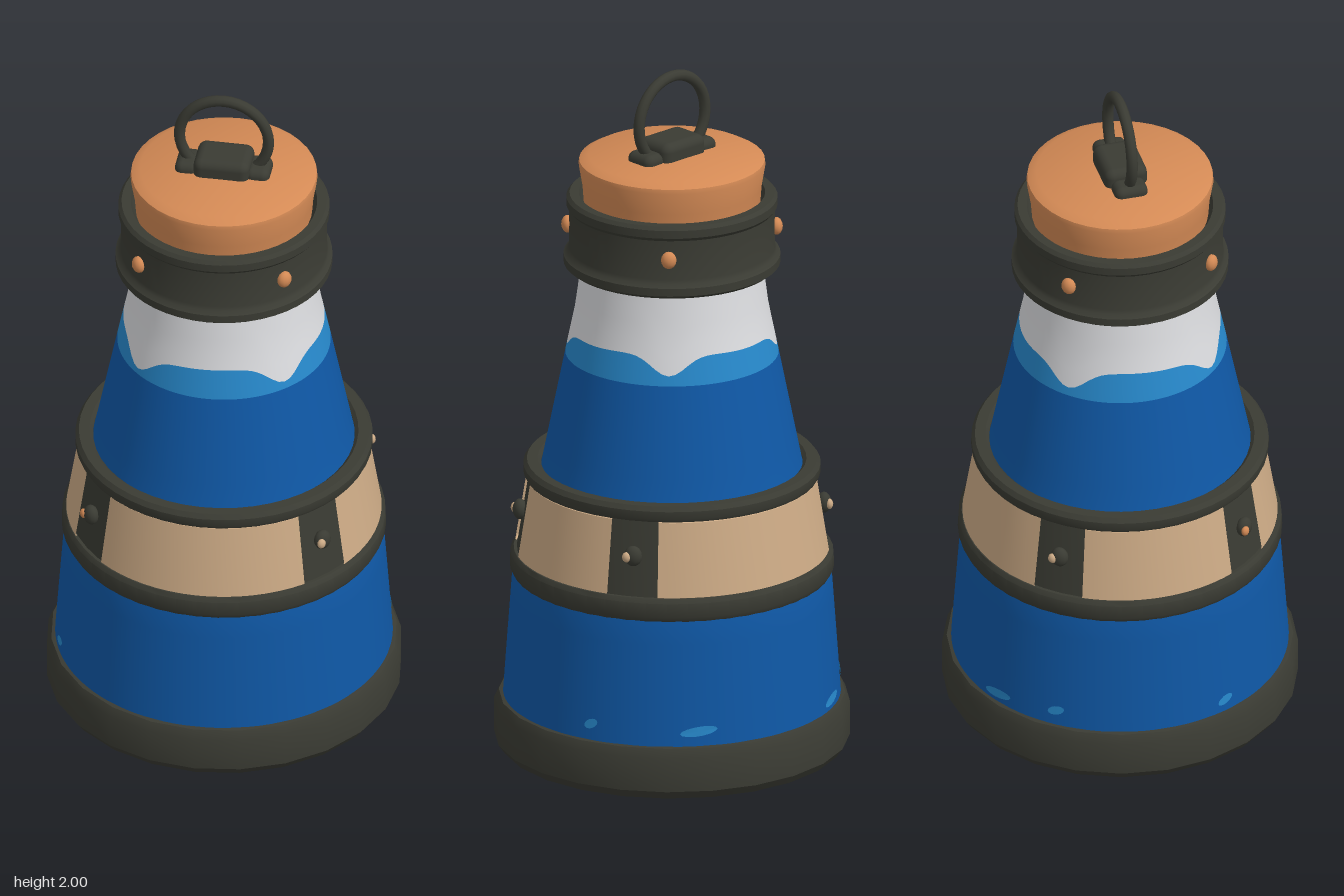
import * as THREE from 'three';
import { toCreasedNormals } from 'three/addons/utils/BufferGeometryUtils.js';
import { RoundedBoxGeometry } from 'three/addons/geometries/RoundedBoxGeometry.js';

const DEG = Math.PI / 180;

function material(name, color, side = THREE.FrontSide) {
  const m = new THREE.MeshStandardMaterial({ color, side });
  m.name = name;
  return m;
}

// Turned part from [radius, y] pairs, listed bottom to top on the outside
function turned(profile, segments, start = 0, length = Math.PI * 2) {
  const points = profile.map(([r, y]) => new THREE.Vector2(r, y));
  return toCreasedNormals(new THREE.LatheGeometry(points, segments, start, length), 0.6);
}

// Flask wall radius at height y
const wall = [[0.1, 0.478], [0.3, 0.464], [0.52, 0.448], [0.84, 0.365], [1.17, 0.299], [1.3, 0.272], [1.45, 0.252], [1.65, 0.24]];
function wallRadius(y) {
  for (let i = 1; i < wall.length; i++) {
    const [y0, r0] = wall[i - 1], [y1, r1] = wall[i];
    if (y <= y1) return r0 + (r1 - r0) * (y - y0) / (y1 - y0);
  }
  return wall[wall.length - 1][1];
}

// Closed band of the flask wall between two height functions of the angle
function wallBand(low, high, rows) {
  const n = 96, position = [], index = [];
  for (let j = 0; j <= rows; j++) {
    for (let i = 0; i < n; i++) {
      const a = i / n * Math.PI * 2;
      const y = low(a) + (high(a) - low(a)) * j / rows;
      const r = wallRadius(y);
      position.push(Math.sin(a) * r, y, Math.cos(a) * r);
      if (j < rows) {
        const p = j * n + i, q = j * n + (i + 1) % n;
        index.push(p, q, p + n, q, q + n, p + n);
      }
    }
  }
  const g = new THREE.BufferGeometry();
  g.setAttribute('position', new THREE.Float32BufferAttribute(position, 3));
  g.setIndex(index);
  g.computeVertexNormals();
  return g;
}

// Wavy liquid line: four drips on the diagonals with shallow crests between
function waveHeight(a) {
  const d = (((a / DEG) % 90) + 90) % 90 - 45;
  return 1.247 - 0.06 * Math.exp(-((d / 13) ** 2)) + 0.006 * Math.sin(3 * a + 1);
}

export function createModel() {
  const model = new THREE.Group();
  const metal = material('darkMetal', 0x3a3b33);
  const blue = material('deepBlue', 0x0f58a6);
  const lightBlue = material('lightBlue', 0x2789cc, THREE.DoubleSide);
  const glass = material('paleGlass', 0xdcdde0);
  const tan = material('tanPanel', 0xcdab86, THREE.DoubleSide);
  const cork = material('cork', 0xd48a55);

  const add = (name, geometry, mat) => {
    const mesh = new THREE.Mesh(geometry, mat);
    mesh.name = name;
    model.add(mesh);
    return mesh;
  };

  // Foot
  add('base', turned([[0, 0], [0.482, 0], [0.5, 0.025], [0.5, 0.125], [0.487, 0.15], [0.46, 0.155]], 24), metal);

  // Flask wall: deep liquid, foam line, empty glass
  const level = (y) => () => y;
  add('liquid', wallBand(level(0.12), level(1.165), 16), blue);
  add('liquidEdge', wallBand(level(1.165), waveHeight, 3), lightBlue);
  add('glassNeck', wallBand(waveHeight, level(1.62), 8), glass);

  // Small light patches above the foot
  for (const [angle, width, y] of [[108, 5, 0.2], [146, 13, 0.195], [-67, 6, 0.19], [208, 12, 0.18], [232, 6, 0.2]]) {
    const g = new THREE.CircleGeometry(1, 14);
    const p = g.attributes.position;
    for (let i = 0; i < p.count; i++) {
      const a = (angle + p.getX(i) * width / 2) * DEG;
      const py = y + p.getY(i) * 0.014 + p.getX(i) * 0.006;
      const r = wallRadius(py) + 0.003;
      p.setXYZ(i, Math.sin(a) * r, py, Math.cos(a) * r);
    }
    g.computeVertexNormals();
    add('liquidPatch', g, lightBlue);
  }

  // Middle hoop with raised rims
  add('middleHoop', turned([
    [0.43, 0.52], [0.448, 0.515], [0.456, 0.53], [0.454, 0.57], [0.445, 0.582], [0.436, 0.582],
    [0.402, 0.797], [0.413, 0.8], [0.418, 0.81], [0.418, 0.832], [0.408, 0.845], [0.378, 0.845],
    [0.368, 0.835], [0.36, 0.79],
  ], 48), metal);

  // Panels between the four straps, and a rivet on each strap
  const straps = [50, 122, 231, 309];
  straps.forEach((angle, i) => {
    const next = straps[(i + 1) % 4] + (i === 3 ? 360 : 0);
    const start = (angle + 9.5) * DEG, length = (next - angle - 19) * DEG;
    add('hoopPanel', turned([[0.434, 0.58], [0.443, 0.584], [0.409, 0.796], [0.4, 0.8]], 16, start, length), tan);
  });

  function rivet(name, angle, radius, y, size, mat) {
    const mesh = add(name, new THREE.SphereGeometry(1, 12, 8), mat);
    mesh.scale.set(size, size * 1.15, size * 0.8);
    mesh.position.set(Math.sin(angle * DEG) * radius, y, Math.cos(angle * DEG) * radius);
    mesh.rotation.y = angle * DEG;
  }
  straps.forEach((angle, i) => {
    rivet('hoopRivet', angle, 0.428, 0.7, 0.026, metal);
    rivet('hoopRivetWear', angle - 2, 0.443, 0.7, 0.013, i === 3 ? cork : tan);
  });

  // Collar around the neck
  add('neckCollar', turned([
    [0.245, 1.43], [0.292, 1.425], [0.305, 1.435], [0.305, 1.458], [0.294, 1.468], [0.29, 1.48],
    [0.289, 1.595], [0.297, 1.605], [0.297, 1.628], [0.288, 1.638], [0.262, 1.638], [0.255, 1.62], [0.24, 1.6],
  ], 48), metal);
  for (const angle of [45, 135, 225, 315]) rivet('collarRivet', angle, 0.294, 1.54, 0.022, cork);

  // Stopper
  add('stopper', turned([[0.246, 1.58], [0.252, 1.66], [0.263, 1.725], [0.261, 1.738], [0.235, 1.752], [0, 1.758]], 40), cork);

  // Ring mount and pull ring
  add('mountBlock', new RoundedBoxGeometry(0.16, 0.08, 0.124, 3, 0.025), metal).position.y = 1.768;
  for (const side of [-1, 1]) {
    add('mountLug', new RoundedBoxGeometry(0.07, 0.05, 0.096, 3, 0.022), metal).position.set(side * 0.1, 1.758, 0);
  }
  add('pullRing', new THREE.TorusGeometry(0.127, 0.016, 10, 40), metal).position.y = 1.857;

  return model;
}
